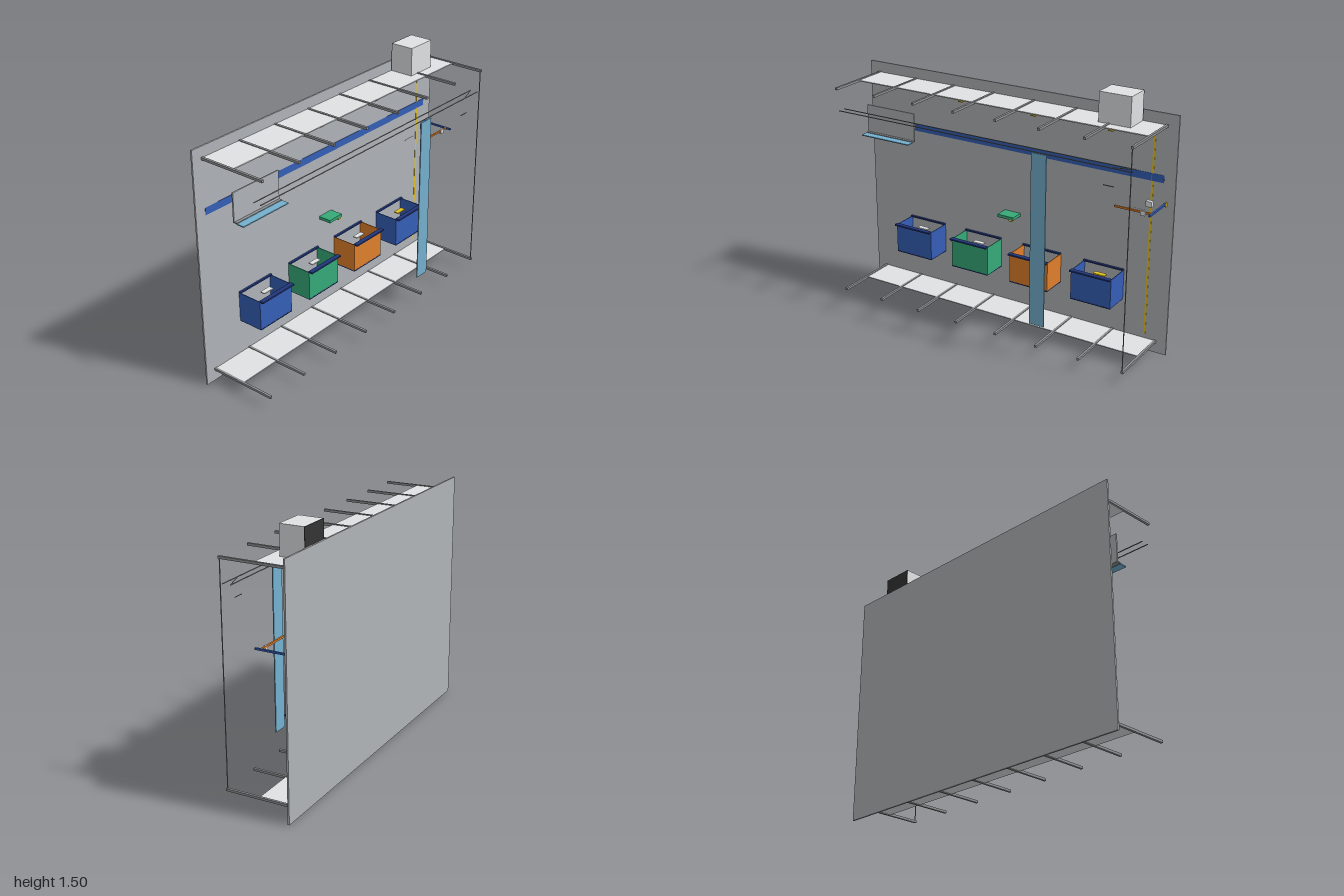
import * as THREE from 'three';

const mat = (name, color) => {
  const m = new THREE.MeshStandardMaterial({ color });
  m.name = name;
  return m;
};

export function createModel() {
  const root = new THREE.Group();
  root.name = 'wallStation';
  const wallGrey = mat('wall grey', 0xb0b4b8);
  const light = mat('light grey', 0xe0e2e4);
  const steel = mat('steel', 0x8e9092);
  const dark = mat('dark', 0x343434);
  const blue = mat('blue', 0x365fb8);
  const navy = mat('navy', 0x21357a);
  const green = mat('green', 0x36aa78);
  const orange = mat('orange', 0xe0802c);
  const sky = mat('sky blue', 0x74b0cf);
  const yellow = mat('yellow', 0xe8c520);

  // box given by its limits on each axis
  const box = (name, m, [x0, x1], [y0, y1], [z0, z1], parent = root) => {
    const mesh = new THREE.Mesh(new THREE.BoxGeometry(x1 - x0, y1 - y0, z1 - z0), m);
    mesh.position.set((x0 + x1) / 2, (y0 + y1) / 2, (z0 + z1) / 2);
    mesh.name = name;
    parent.add(mesh);
  };
  // round bar between two points
  const bar = (name, m, a, b, r) => {
    const p = new THREE.Vector3(...a), q = new THREE.Vector3(...b);
    const d = q.clone().sub(p);
    const mesh = new THREE.Mesh(new THREE.CylinderGeometry(r, r, d.length(), 8), m);
    mesh.position.copy(p).add(q).multiplyScalar(0.5);
    mesh.quaternion.setFromUnitVectors(new THREE.Vector3(0, 1, 0), d.normalize());
    mesh.name = name;
    root.add(mesh);
  };

  // back wall with its painted stripe and upright yellow line
  box('wall', wallGrey, [-1, 1], [0, 1.4], [-0.21, -0.2]);
  box('wallStripe', blue, [-0.935, 0.933], [1.015, 1.058], [-0.2, -0.1985]);
  box('uprightLine', yellow, [0.86, 0.872], [0.1, 1.3], [-0.2, -0.1985]);

  // upper and lower shelves, each carried by eight long brackets
  for (const y of [0.07, 1.335]) {
    box('shelf', light, [-0.935, 0.933], [y - 0.003, y + 0.003], [-0.2, 0.008]);
    for (let i = 0; i < 8; i++) {
      const x = -0.934 + i * 0.2667;
      box('bracket', steel, [x - 0.007, x + 0.007], [y - 0.007, y + 0.007], [-0.2, 0.21]);
    }
  }

  // front wire, twin rails, link and pull handle
  bar('frontWire', steel, [0.932, 0.07, 0.204], [0.932, 1.335, 0.204], 0.003);
  bar('frontRail', steel, [-0.935, 1.2, 0.19], [0.932, 1.2, 0.19], 0.003);
  bar('rearRail', steel, [-0.935, 1.2, 0.145], [0.932, 1.2, 0.145], 0.003);
  bar('railLink', steel, [0.932, 1.2, 0.145], [0.81, 1.2, 0.185], 0.002);
  box('pullHandle', steel, [0.77, 0.83], [1.099, 1.103], [0.186, 0.19]);

  // hanging strip in front
  box('hangingStrip', sky, [0.355, 0.447], [0.2, 1.2], [0.2, 0.206]);

  // display panel and tray
  box('displayPanel', wallGrey, [-0.903, -0.568], [1.02, 1.185], [-0.037, -0.028]);
  box('trayHinge', steel, [-0.903, -0.568], [1.015, 1.021], [-0.037, -0.01]);
  box('displayTray', sky, [-0.903, -0.568], [1.011, 1.017], [-0.012, 0.036]);

  // open-backed bins with dark rims
  [blue, green, orange, blue].forEach((m, i) => {
    const g = new THREE.Group();
    g.name = 'bin';
    root.add(g);
    const cx = -0.602 + i * 0.4, l = cx - 0.125, r = cx + 0.125, t = 0.005;
    box('binFront', m, [l, r], [0.28, 0.455], [-0.045 - t, -0.045], g);
    box('binLeft', m, [r - t, r], [0.28, 0.455], [-0.2, -0.045 - t], g);
    box('binRight', m, [l, l + t], [0.28, 0.455], [-0.2, -0.045 - t], g);
    box('binFloor', m, [l + t, r - t], [0.28, 0.285], [-0.2, -0.045 - t], g);
    box('frontRim', navy, [l, r], [0.453, 0.462], [-0.05, -0.022], g);
    box('backRim', navy, [l, r], [0.453, 0.462], [-0.2, -0.187], g);
    box('bottomRim', navy, [l, r], [0.277, 0.283], [-0.2, -0.044], g);
    box('binCard', i === 3 ? yellow : light, [cx - 0.02, cx + 0.05], [0.43, 0.436], [-0.14, -0.11], g);
  });

  // small green holder with a yellow button
  box('holder', green, [-0.055, 0.05], [0.627, 0.645], [-0.2, -0.12]);
  box('holderButton', yellow, [0.02, 0.042], [0.618, 0.627], [-0.132, -0.12]);

  // swing arm with cross bar and clamps
  box('swingArm', blue, [0.943, 0.954], [0.895, 0.905], [-0.2, 0]);
  box('armPivot', yellow, [0.954, 0.957], [0.888, 0.912], [-0.199, -0.18]);
  box('crossBar', orange, [0.73, 0.95], [0.895, 0.905], [-0.038, -0.028]);
  box('largeClamp', light, [0.86, 0.895], [0.887, 0.918], [-0.166, -0.14]);
  box('smallClamp', light, [0.885, 0.912], [0.882, 0.908], [-0.036, -0.026]);
  box('wallLabel', light, [0.755, 0.835], [0.833, 0.838], [-0.2, -0.197]);

  // lamps under the upper shelf
  for (const x of [-0.7, -0.235, 0.235, 0.7]) {
    box('lampPlate', navy, [x - 0.095, x + 0.095], [1.32, 1.327], [-0.19, -0.04]);
    box('lampGlow', yellow, [x - 0.03, x + 0.03], [1.311, 1.32], [-0.195, -0.17]);
    box('lampSwitch', yellow, [x - 0.015, x + 0.015], [1.315, 1.321], [-0.03, -0.014]);
  }

  // cabinet on the upper shelf with dark back and plug
  box('cabinet', light, [0.605, 0.793], [1.338, 1.505], [-0.196, -0.055]);
  box('cabinetBack', dark, [0.605, 0.793], [1.338, 1.505], [-0.199, -0.196]);
  box('cabinetPlug', dark, [0.774, 0.788], [1.31, 1.322], [-0.2, -0.17]);

  return root;
}
